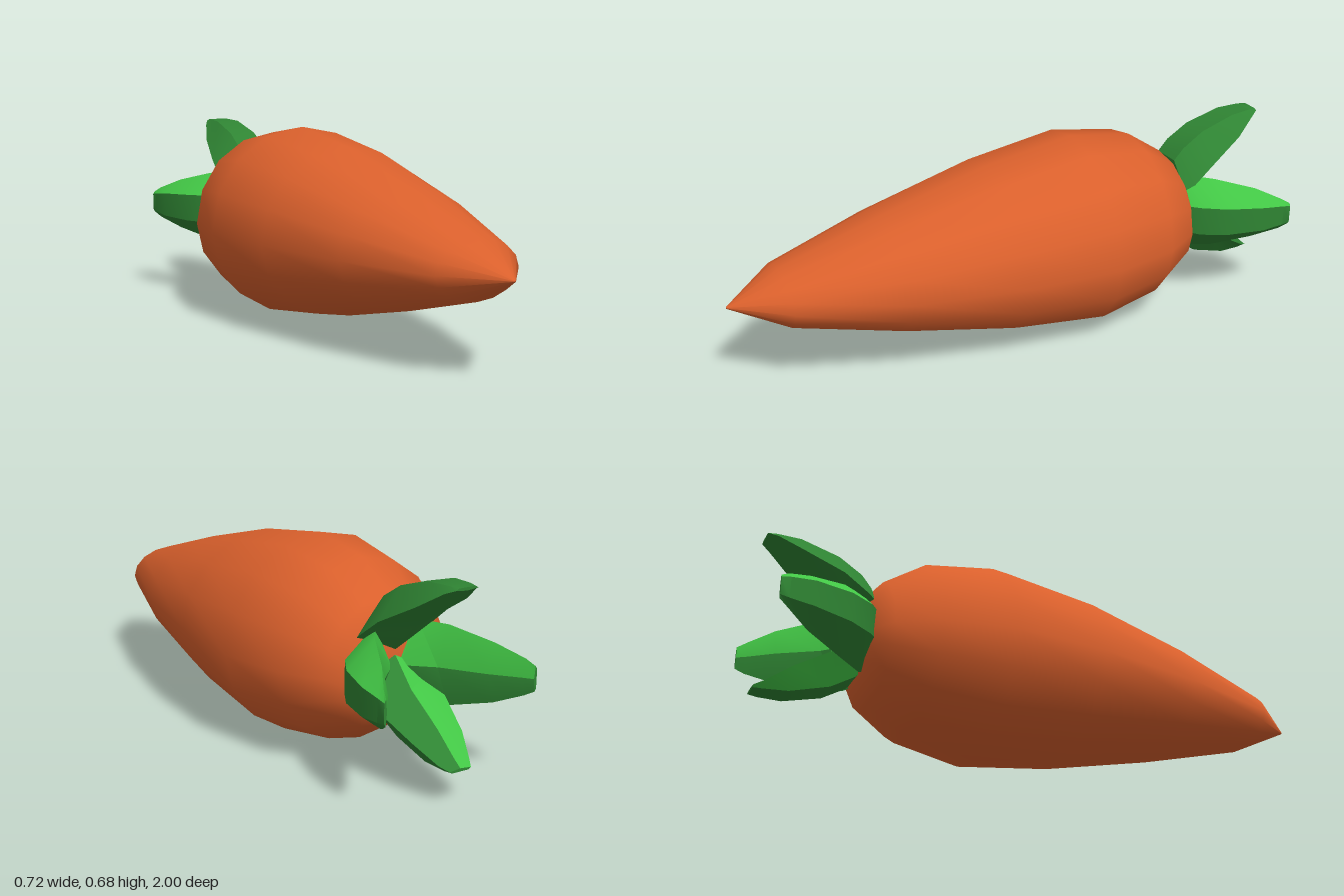
import * as THREE from 'three';
import { toCreasedNormals } from 'three/addons/utils/BufferGeometryUtils.js';

// Skin equal-length rings (front to back, counter-clockwise seen from +z), with closed ends.
// Sides run one after another, so each lengthwise strip can take its own material.
function loft(rings, stripMaterial = () => 0) {
  const n = rings[0].length;
  const points = rings.flat();
  const index = [];
  const geo = new THREE.BufferGeometry();
  for (let j = 0; j < n; j++) {
    const start = index.length;
    for (let i = 0; i < rings.length - 1; i++) {
      const f = i * n + j, f2 = i * n + (j + 1) % n;
      index.push(f, f + n, f2, f2, f + n, f2 + n);
    }
    geo.addGroup(start, index.length - start, stripMaterial(j));
  }
  const capStart = index.length;
  const cap = (ring, start, flip) => {
    const mid = ring.reduce((s, p) => s.add(p), new THREE.Vector3()).divideScalar(n);
    const c = points.push(mid) - 1;
    for (let j = 0; j < n; j++) {
      const a = start + j, b = start + (j + 1) % n;
      if (flip) index.push(c, b, a); else index.push(c, a, b);
    }
  };
  cap(rings[0], 0, false);
  cap(rings.at(-1), (rings.length - 1) * n, true);
  geo.addGroup(capStart, index.length - capStart, 0);
  geo.setFromPoints(points);
  geo.setIndex(index);
  geo.computeVertexNormals();
  return geo;
}

// Root: egg-shaped rings [z, half width, height above the axis, depth below it]
function rootGeometry() {
  const sides = 16;
  const rows = [
    [0.998, 0.004, 0.003, 0.003],
    [0.82, 0.152, 0.098, 0.092],
    [0.46, 0.265, 0.208, 0.186],
    [0.08, 0.339, 0.308, 0.272],
    [-0.25, 0.362, 0.358, 0.319],
    [-0.485, 0.314, 0.322, 0.278],
    [-0.62, 0.235, 0.232, 0.192],
    [-0.675, 0.15, 0.15, 0.115],
  ];
  return loft(rows.map(([z, rx, up, down]) => Array.from({ length: sides }, (_, j) => {
    const a = j / sides * Math.PI * 2, s = Math.sin(a);
    return new THREE.Vector3(rx * Math.cos(a), 0.322 + (s > 0 ? up : down) * s, z);
  })));
}

// Leaf: five-sided sections [z, outer height, edge height, inner ridge height, half width, half width of the flat back]
function leafGeometry(lightStrips) {
  const rows = [
    [-0.645, 0.15, 0.06, 0.0, 0.125, 0.05],
    [-0.68, 0.19, 0.08, 0.015, 0.138, 0.052],
    [-0.76, 0.24, 0.14, 0.1, 0.13, 0.05],
    [-0.89, 0.278, 0.21, 0.185, 0.095, 0.044],
    [-0.97, 0.282, 0.262, 0.25, 0.058, 0.036],
    [-1.0, 0.281, 0.275, 0.271, 0.04, 0.03],
  ];
  const rings = rows.map(([z, top, edge, ridge, w, p]) =>
    [[w, edge], [p, top], [-p, top], [-w, edge], [0, ridge]]
      .map(([x, y]) => new THREE.Vector3(x, y, z)));
  return toCreasedNormals(loft(rings, (j) => (lightStrips.includes(j) ? 1 : 0)), 0.55);
}

export function createModel() {
  const model = new THREE.Group();
  model.name = 'carrot';

  const material = (name, color) => {
    const m = new THREE.MeshStandardMaterial({ color });
    m.name = name;
    return m;
  };
  const orange = material('carrot orange', 0xda602c);
  const darkGreen = material('dark leaf green', 0x2f8433);
  const lightGreen = material('light leaf green', 0x42c645);

  const root = new THREE.Mesh(rootGeometry(), orange);
  root.name = 'root';
  model.add(root);

  // Four leaves flaring out around the crown, with the light strips on one half
  const leaves = [
    ['topLeaf', 0, 0.383, []],
    ['rightLeaf', Math.PI / 2, 0.343, [0, 4]],
    ['bottomLeaf', Math.PI, 0.39, [0, 4]],
    ['leftLeaf', -Math.PI / 2, 0.343, [2, 3]],
  ];
  for (const [name, turn, y, lightStrips] of leaves) {
    const mesh = new THREE.Mesh(leafGeometry(lightStrips), [darkGreen, lightGreen]);
    mesh.name = name;
    mesh.position.set(0.01, y, 0);
    mesh.rotation.z = turn;
    model.add(mesh);
  }
  return model;
}
